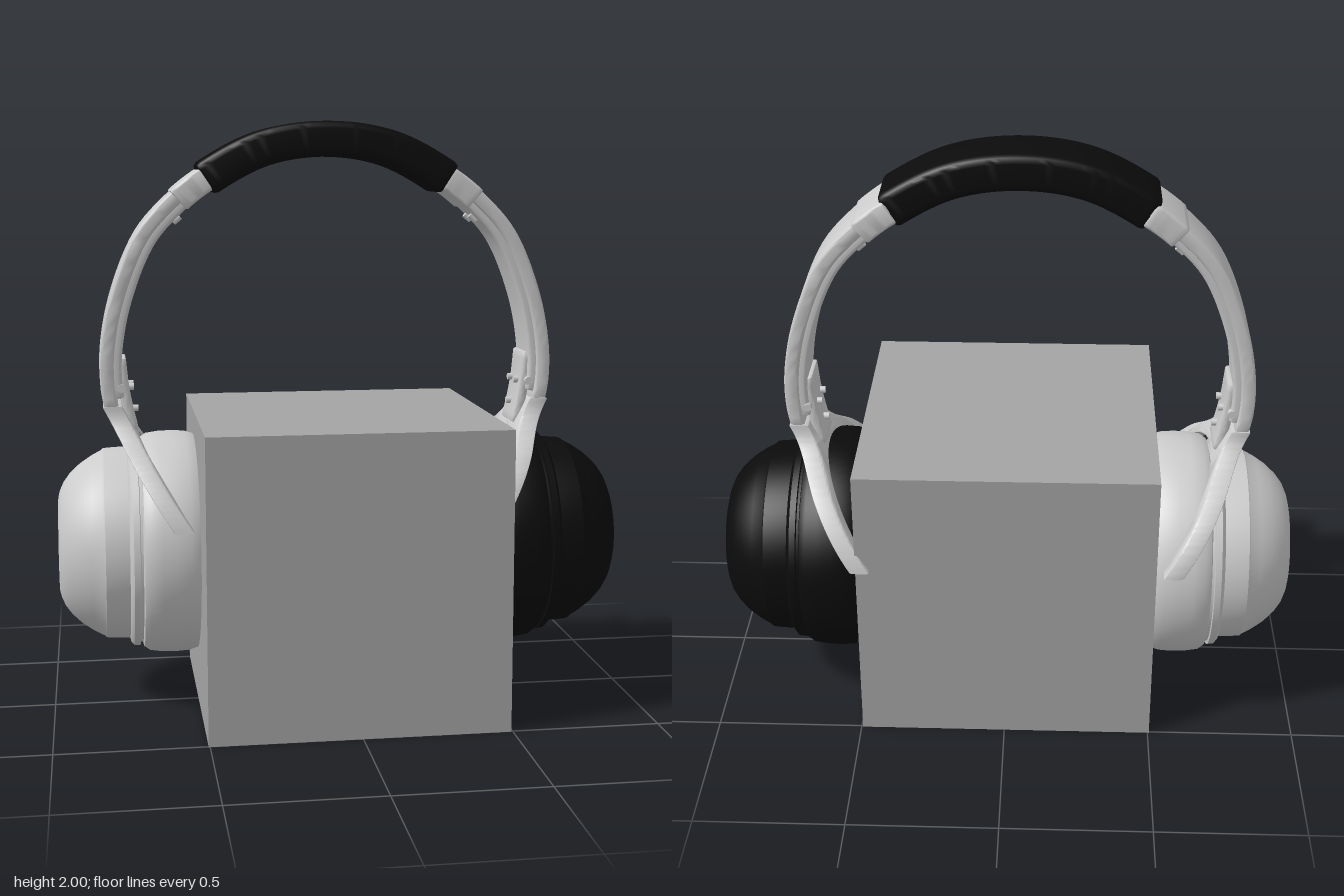
import * as THREE from 'three';
import { toCreasedNormals } from 'three/addons/utils/BufferGeometryUtils.js';

const grey = new THREE.MeshStandardMaterial({ color: 0xcccccc, side: THREE.DoubleSide });
const black = new THREE.MeshStandardMaterial({ color: 0x0b0b0b, side: THREE.DoubleSide });
const stone = new THREE.MeshStandardMaterial({ color: 0xa4a4a4 });

const BAND_X = -0.04, BAND_Z = -0.1;   // centre of the headband
const CUP_Y = 0.545, CUP_Z = -0.11;    // centre of the ear cups

function addMesh(parent, name, geometry, material) {
  const mesh = new THREE.Mesh(geometry, material);
  mesh.name = name;
  parent.add(mesh);
  return mesh;
}

// Rounded rectangle, counter-clockwise: x = across the band, y = along z
function section(thick, width, r) {
  const pts = [];
  for (let c = 0; c < 4; c++) {
    const sx = c === 0 || c === 3 ? 1 : -1, sy = c < 2 ? 1 : -1;
    for (let k = 0; k <= 4; k++) {
      const a = (c + k / 4) * Math.PI / 2;
      pts.push([sx * (thick / 2 - r) + r * Math.cos(a), sy * (width / 2 - r) + r * Math.sin(a)]);
    }
  }
  return pts;
}

// Sweep a rounded bar along part of a curve in the xy plane, with bevelled ends
function sweep(curve, u0, u1, { thick, width, round = 0.012, offset = 0, bevel = 0.006, steps = 40 }) {
  const len = curve.getLength(), e = bevel / len, rings = [[u0, bevel], [u0 + e * 0.3, bevel * 0.3]];
  for (let i = 0; i <= steps; i++) rings.push([u0 + e + (u1 - u0 - 2 * e) * i / steps, 0]);
  rings.push([u1 - e * 0.3, bevel * 0.3], [u1, bevel]);
  const pos = [], idx = [], n = 20;
  for (const [u, inset] of rings) {
    const p = curve.getPointAt(u), t = curve.getTangentAt(u);
    for (const [a, b] of section(thick - 2 * inset, width - 2 * inset, Math.max(round - inset, 0.003)))
      pos.push(p.x - t.y * (a + offset), p.y + t.x * (a + offset), b);
  }
  for (let i = 0; i < rings.length - 1; i++)
    for (let j = 0; j < n; j++) {
      const a = i * n + j, b = i * n + (j + 1) % n;
      idx.push(a, b, b + n, a, b + n, a + n);
    }
  const last = (rings.length - 1) * n;
  for (let j = 1; j < n - 1; j++) idx.push(0, j + 1, j, last, last + j, last + j + 1);
  const g = new THREE.BufferGeometry();
  g.setAttribute('position', new THREE.Float32BufferAttribute(pos, 3));
  g.setIndex(idx);
  return toCreasedNormals(g, 0.6);
}

const spline = pts => new THREE.CatmullRomCurve3(pts.map(([x, y]) => new THREE.Vector3(x, y, 0)));

// Ear cup turned about the x axis; side is +1 (left) or -1 (right)
function cupGeometry(side) {
  const profile = [
    [0.2, 0.47], [0.33, 0.47], [0.362, 0.485], [0.376, 0.505], [0.385, 0.535], [0.388, 0.58],
    [0.386, 0.63], [0.38, 0.67], [0.366, 0.69], [0.35, 0.694], [0.35, 0.702], [0.362, 0.704],
    [0.36, 0.725], [0.348, 0.735], [0.334, 0.738], [0.333, 0.78], [0.33, 0.818], [0.324, 0.824],
    [0.305, 0.86], [0.278, 0.9], [0.245, 0.935], [0.215, 0.957], [0.185, 0.97], [0.165, 0.975], [0, 0.975],
  ].map(([r, x]) => new THREE.Vector2(r, x));
  const g = new THREE.LatheGeometry(profile, 72);
  g.rotateZ(-side * Math.PI / 2);
  return toCreasedNormals(g, 0.5);
}

// Fork that straddles the cup: a flat arch, leaned inwards towards its tips
function yokeGeometry(side) {
  const s = new THREE.Shape();
  const inner = 0.388, tip = 0.115, a = Math.asin(tip / inner), c = 0.01;
  s.moveTo(c + 0.104, 0.49);
  s.lineTo(c - 0.104, 0.49);
  s.bezierCurveTo(c - 0.107, 0.41, -0.19, 0.38, -0.275, 0.318);
  s.quadraticCurveTo(-0.385, 0.225, -0.408, tip);
  s.lineTo(-inner * Math.cos(a), tip);
  s.absarc(0, 0, inner, Math.PI - a, a, true);
  s.lineTo(0.408, tip);
  s.quadraticCurveTo(0.385, 0.225, 0.275, 0.318);
  s.bezierCurveTo(0.19, 0.38, c + 0.107, 0.41, c + 0.104, 0.49);
  const g = new THREE.ExtrudeGeometry(s, {
    depth: 0.05, bevelEnabled: true, bevelSize: 0.005, bevelThickness: 0.008, bevelSegments: 2, curveSegments: 24,
  });
  g.translate(0, 0, -0.025);
  g.rotateY(-Math.PI / 2);
  const p = g.attributes.position;
  for (let i = 0; i < p.count; i++) {
    const d = p.getY(i) - 0.12;
    p.setX(i, p.getX(i) + side * (0.525 + 0.66 * d - 0.2 * d * d));
  }
  return toCreasedNormals(g, 0.6);
}

export function createModel() {
  const model = new THREE.Group();
  model.name = 'headphonesOnStand';

  // Display block
  addMesh(model, 'standBlock', new THREE.BoxGeometry(1, 1.01, 1.01), stone).position.set(-0.005, 0.505, 0);

  // Headband: outer shell, inner liner and padded top
  const headband = new THREE.Group();
  headband.name = 'headband';
  headband.position.set(BAND_X, 0, BAND_Z);
  model.add(headband);
  const half = [[0.22, 1.908], [0.42, 1.803], [0.53, 1.715], [0.625, 1.605], [0.71, 1.4], [0.745, 1.22], [0.745, 1.1], [0.733, 1.035]];
  const arc = spline([...half.map(([x, y]) => [-x, y]).reverse(), [0, 1.94], ...half]);
  addMesh(headband, 'bandShell', sweep(arc, 0, 1, { thick: 0.048, width: 0.208, offset: 0.013, steps: 90 }), grey);
  addMesh(headband, 'bandLiner', sweep(arc, 0.01, 0.99, { thick: 0.04, width: 0.18, offset: -0.018, steps: 90 }), grey);
  addMesh(headband, 'headPad', sweep(arc, 0.33, 0.67, {
    thick: 0.12, width: 0.22, round: 0.025, bevel: 0.018, steps: 50 }), black).position.z = 0.005;

  for (const side of [1, -1]) {
    const label = side > 0 ? 'left' : 'right';

    // Collar between pad and slider
    const [c0, c1] = side > 0 ? [0.665, 0.712] : [0.288, 0.335];
    addMesh(headband, label + 'Collar', sweep(arc, c0, c1, { thick: 0.084, width: 0.218, steps: 8 }), grey);

    // Hinge bracket on the inside of the band, with rivets
    const hinge = [[0.712, 1.2], [0.702, 1.1], [0.69, 1.03], [0.672, 0.95]].map(([x, y]) => [side * x, y]);
    if (side < 0) hinge.reverse();
    addMesh(headband, label + 'HingeBracket', sweep(spline(hinge), 0, 1, { thick: 0.035, width: 0.15, steps: 12 }), grey);
    for (const [x, y, z] of [[0.683, 1.1, 0.04], [0.683, 1.1, -0.04], [0.668, 1.02, 0], [0.515, 1.67, 0.04], [0.515, 1.67, -0.04]]) {
      const rivet = addMesh(headband, label + 'Rivet', new THREE.CylinderGeometry(0.012, 0.012, 0.03, 16), grey);
      rivet.position.set(side * x, y, z);
      rivet.rotation.z = side * (y > 1.5 ? 0.85 : Math.PI / 2);
    }
    const pin = addMesh(headband, label + 'HingePin', new THREE.CylinderGeometry(0.014, 0.014, 0.19, 16), grey);
    pin.position.set(side * 0.712, 1.1, 0);
    pin.rotation.x = Math.PI / 2;

    // Fork and ear cup
    addMesh(model, label + 'Yoke', yokeGeometry(side), grey).position.set(BAND_X, CUP_Y, CUP_Z);
    addMesh(model, label + 'EarCup', cupGeometry(side), side > 0 ? black : grey).position.set(0, CUP_Y, CUP_Z);
  }
  return model;
}
